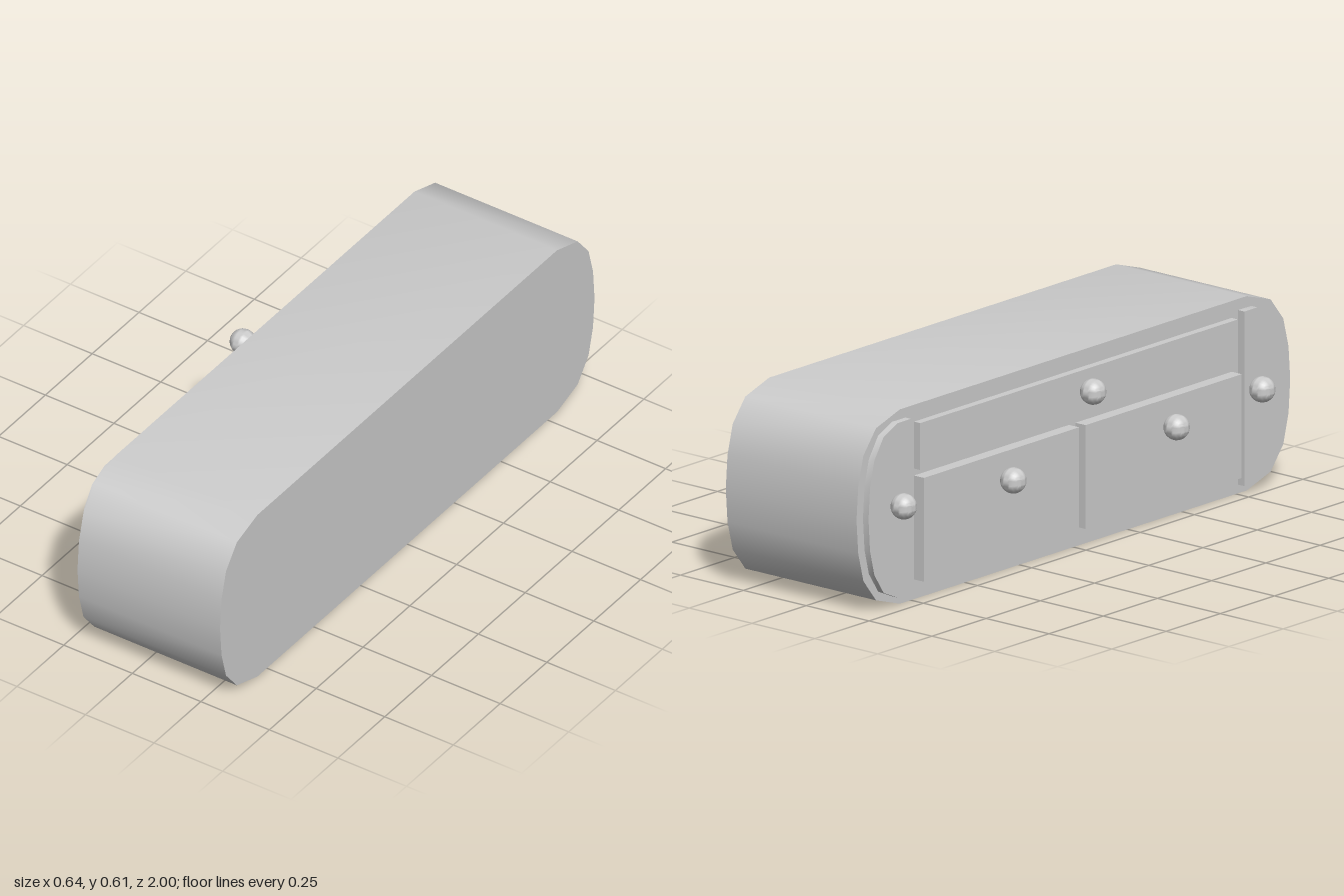
import * as THREE from 'three';
import { toCreasedNormals } from 'three/addons/utils/BufferGeometryUtils.js';

const material = new THREE.MeshStandardMaterial({ color: 0xcccccc });
const BODY_FACE = -0.2; // x of the side that carries the drawers
const MID = 0.305; // half the body height

// Extrudes a [z, y] outline along x, from xMin to xMax
function slab(name, outline, xMin, xMax) {
  const shape = new THREE.Shape(outline.map(([z, y]) => new THREE.Vector2(z, y)));
  const geo = new THREE.ExtrudeGeometry(shape, { depth: xMax - xMin, bevelEnabled: false });
  geo.rotateY(-Math.PI / 2).translate(xMax, 0, 0);
  const mesh = new THREE.Mesh(toCreasedNormals(geo, 0.7), material);
  mesh.name = name;
  return mesh;
}

// Box drawer front standing out from the body to xOut
function drawer(name, z0, z1, y0, y1, xOut) {
  const geo = new THREE.BoxGeometry(BODY_FACE - xOut, y1 - y0, z1 - z0);
  const mesh = new THREE.Mesh(geo, material);
  mesh.name = name;
  mesh.position.set((BODY_FACE + xOut) / 2, (y0 + y1) / 2, (z0 + z1) / 2);
  return mesh;
}

// Ball knob with its inner side cut flat
function knobGeometry() {
  const r = 0.04, start = -Math.asin(0.7), points = [new THREE.Vector2(0, -0.7 * r)];
  for (let i = 0; i <= 14; i++) {
    const a = start + (Math.PI / 2 - start) * i / 14;
    points.push(new THREE.Vector2(Math.max(0, r * Math.cos(a)), r * Math.sin(a)));
  }
  return toCreasedNormals(new THREE.LatheGeometry(points, 24).rotateZ(Math.PI / 2), 0.6);
}

export function createModel() {
  const model = new THREE.Group();
  model.name = 'drawerUnit';

  // Body: one rounded quarter, mirrored to all four corners
  const quarter = [[1, 0], [0.992, 0.105], [0.968, 0.197], [0.91, 0.27], [0.8, 0.305]];
  const upper = [...quarter, ...quarter.map(([z, y]) => [-z, y]).reverse()];
  const lower = upper.slice(1, -1).map(([z, y]) => [z, -y]).reverse();
  const outline = [...upper, ...lower].map(([z, y]) => [z, y + MID]);
  model.add(slab('body', outline, BODY_FACE, 0.32));

  // Rounded end doors, one at each end
  const curve = [[0.195, 0], [0.188, 0.1], [0.168, 0.18], [0.125, 0.245], [0.06, 0.274], [0, 0.274]];
  const half = curve.slice(1).map(([z, y]) => [z, -y]).reverse();
  for (const [name, side, inner, xOut, lift] of [
    ['frontEndDoor', 1, 0.76, -0.225, -0.004], ['backEndDoor', -1, 0.775, -0.222, 0],
  ]) {
    const door = [...half, ...curve].map(([z, y]) => [side * (inner + z), y + MID + lift]);
    model.add(slab(name, door, xOut, BODY_FACE));
  }

  // Long upper drawer over two lower drawers
  model.add(
    drawer('upperDrawer', -0.735, 0.73, 0.41, 0.557, -0.225),
    drawer('frontLowerDrawer', 0.01, 0.73, 0.062, 0.388, -0.24),
    drawer('backLowerDrawer', -0.735, -0.02, 0.062, 0.388, -0.24),
  );

  // Knobs
  const knobGeo = knobGeometry();
  for (const [name, x, y, z] of [
    ['upperKnob', -0.283, 0.505, -0.005],
    ['frontLowerKnob', -0.283, 0.308, 0.38],
    ['backLowerKnob', -0.283, 0.308, -0.373],
    ['frontEndKnob', -0.25, 0.324, 0.813],
    ['backEndKnob', -0.25, 0.324, -0.84],
  ]) {
    const knob = new THREE.Mesh(knobGeo, material);
    knob.name = name;
    knob.position.set(x, y, z);
    model.add(knob);
  }
  return model;
}
